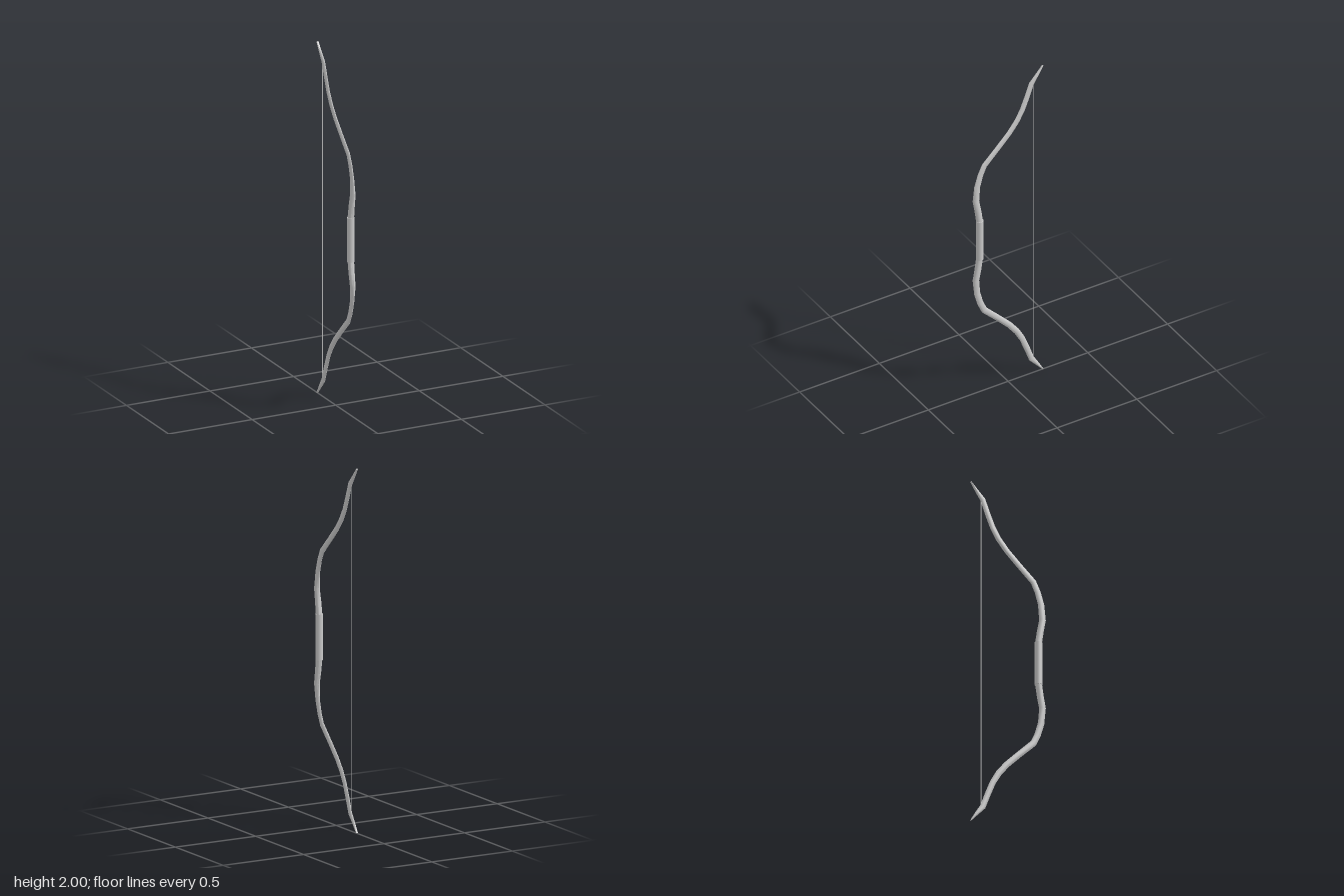
import * as THREE from 'three';
import { toCreasedNormals } from 'three/addons/utils/BufferGeometryUtils.js';

const SIDES = 12;

// Upper half of the bow: height, depth, half width (x), half thickness (in the bending plane)
const UPPER = [
  [1.12, 0.179, 0.017, 0.019],
  [1.19, 0.189, 0.016, 0.019],
  [1.26, 0.202, 0.014, 0.019],
  [1.35, 0.194, 0.009, 0.0185],
  [1.42, 0.174, 0.008, 0.018],
  [1.475, 0.149, 0.0075, 0.018],
  [1.555, 0.067, 0.0075, 0.017],
  [1.63, -0.007, 0.0075, 0.017],
  [1.69, -0.054, 0.0075, 0.017],
  [1.75, -0.088, 0.0075, 0.0165],
  [1.82, -0.116, 0.0075, 0.0165],
  [1.905, -0.147, 0.0075, 0.016],
  [1.95, -0.182, 0.007, 0.01],
  [1.998, -0.217, 0.006, 0.003],
];

// Elliptical sections swept along a path in the yz plane, closed at both ends
function loft(rows) {
  const pos = [], idx = [];
  const n = rows.length;
  rows.forEach(([y, z, w, t], i) => {
    const a = rows[Math.max(i - 1, 0)], b = rows[Math.min(i + 1, n - 1)];
    const dir = new THREE.Vector2(b[0] - a[0], b[1] - a[1]).normalize();
    for (let s = 0; s < SIDES; s++) {
      const ang = (s / SIDES) * Math.PI * 2;
      const d = Math.cos(ang) * t;
      pos.push(Math.sin(ang) * w, y - dir.y * d, z + dir.x * d);
    }
  });
  for (let i = 0; i < n - 1; i++) {
    for (let s = 0; s < SIDES; s++) {
      const a = i * SIDES + s, b = i * SIDES + (s + 1) % SIDES;
      idx.push(a, b, b + SIDES, a, b + SIDES, a + SIDES);
    }
  }
  const last = (n - 1) * SIDES;
  for (let s = 1; s < SIDES - 1; s++) {
    idx.push(0, s + 1, s, last, last + s, last + s + 1);
  }
  const geo = new THREE.BufferGeometry();
  geo.setAttribute('position', new THREE.Float32BufferAttribute(pos, 3));
  geo.setIndex(idx);
  return toCreasedNormals(geo, 0.65);
}

export function createModel() {
  const group = new THREE.Group();
  const material = new THREE.MeshStandardMaterial({ color: 0xcccccc });
  const add = (name, geometry, y = 0, z = 0) => {
    const mesh = new THREE.Mesh(geometry, material);
    mesh.name = name;
    mesh.position.set(0, y, z);
    group.add(mesh);
  };

  // Limbs: the lower one mirrors the upper one about y = 1
  const lower = UPPER.map(([y, z, w, t]) => [2 - y, z, w, t]).reverse();
  add('upperLimb', loft(UPPER));
  add('lowerLimb', loft(lower));

  // Wrapped grip between the limbs
  add('grip', new THREE.CylinderGeometry(0.021, 0.021, 0.25, 16), 1, 0.178);

  // Taut string
  add('string', new THREE.CylinderGeometry(0.002, 0.002, 1.79, 8), 1, -0.157);

  return group;
}
